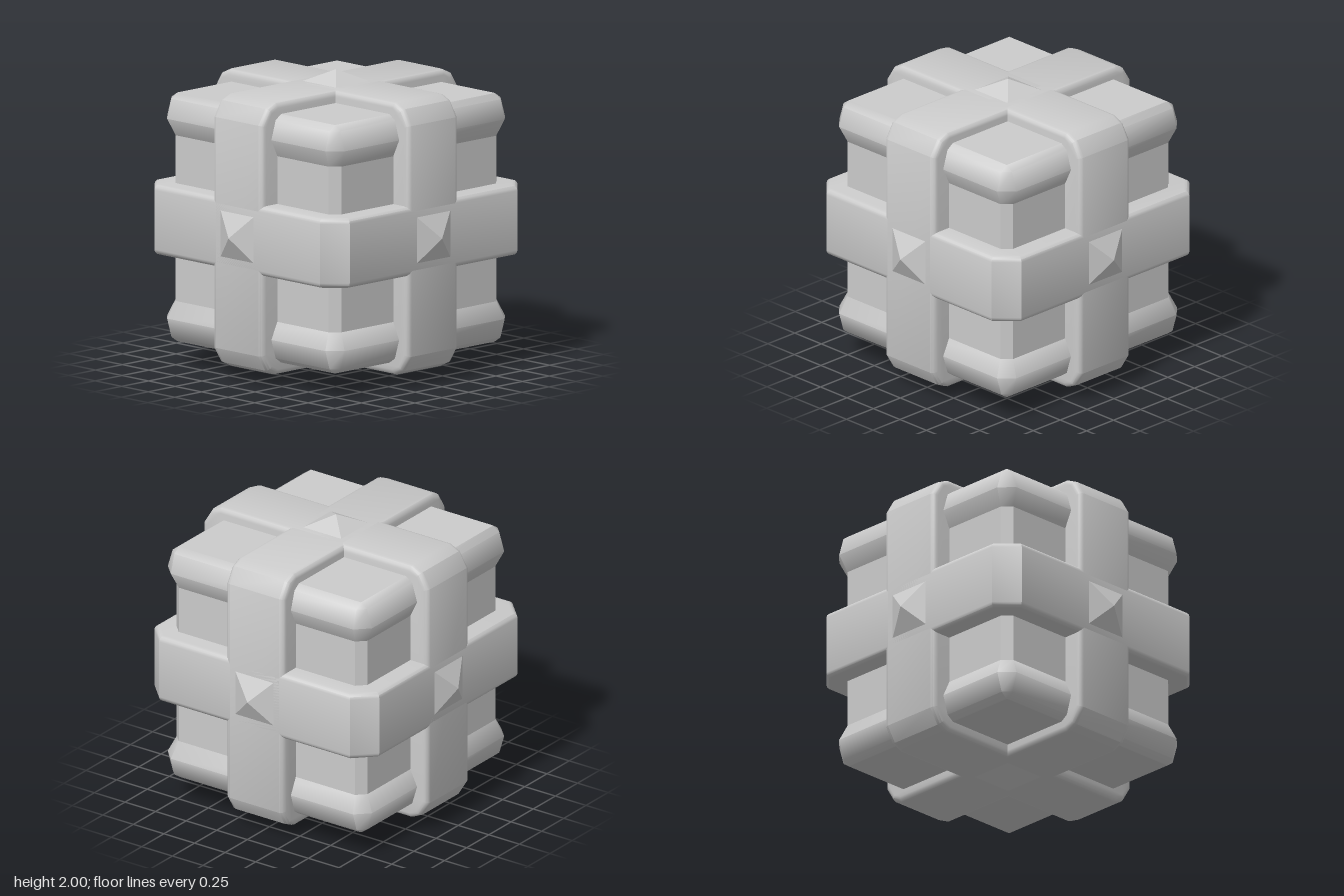
import * as THREE from 'three';
import { toCreasedNormals } from 'three/addons/utils/BufferGeometryUtils.js';

const R = 0.92;     // outer half size of the bands
const FLAT = 0.78;  // half length of each band's flat side

// Loft chamfered squares, each ring given as [halfSize, chamfer, y], from bottom to top
function loftSquares(rings, crease) {
  const pos = [], index = [];
  for (const [h, c, y] of rings) {
    const k = h - c;
    for (const [x, z] of [[h, k], [h, -k], [k, -h], [-k, -h], [-h, -k], [-h, k], [-k, h], [k, h]]) {
      pos.push(x, y, z);
    }
  }
  for (let r = 0; r < rings.length - 1; r++) {
    for (let i = 0; i < 8; i++) {
      const a = r * 8 + i, b = r * 8 + (i + 1) % 8;
      index.push(a, b, b + 8, a, b + 8, a + 8);
    }
  }
  const geo = new THREE.BufferGeometry();
  geo.setAttribute('position', new THREE.Float32BufferAttribute(pos, 3));
  geo.setIndex(index);
  return toCreasedNormals(geo, crease);
}

// Thick polygonal slab with softened rims; corner lists one corner's points in the first quadrant
function bandGeometry(corner) {
  const points = [];
  const back = [...corner].reverse();
  for (const [x, y] of corner) points.push(new THREE.Vector2(x, y));
  for (const [x, y] of back) points.push(new THREE.Vector2(-x, y));
  for (const [x, y] of corner) points.push(new THREE.Vector2(-x, -y));
  for (const [x, y] of back) points.push(new THREE.Vector2(x, -y));
  const geo = new THREE.ExtrudeGeometry(new THREE.Shape(points), {
    depth: 0.4, bevelThickness: 0.037, bevelSize: 0.037, bevelOffset: -0.037, bevelSegments: 3,
  });
  geo.translate(0, 0, -0.2);
  return toCreasedNormals(geo, 0.56);
}

export function createModel() {
  const model = new THREE.Group();
  const body = new THREE.Group();
  body.position.y = 1;
  model.add(body);
  const smooth = new THREE.MeshStandardMaterial({ color: 0xcccccc });
  const faceted = new THREE.MeshStandardMaterial({ color: 0xcccccc, flatShading: true });

  function add(name, geometry, material = smooth) {
    const mesh = new THREE.Mesh(geometry, material);
    mesh.name = name;
    body.add(mesh);
    return mesh;
  }

  // Inner block: straight walls, then a bulging roll and flat plate at top and bottom
  add('coreWalls', loftSquares([[0.78, 0.06, -0.56], [0.78, 0.06, 0.56]], 0.3));
  const roll = [[0.78, 0.06, 0.56], [0.835, 0.09, 0.675], [0.795, 0.05, 0.805], [0.745, 0.005, 0.84]];
  add('upperRoll', loftSquares(roll, 0.95));
  add('lowerRoll', loftSquares([...roll].reverse().map(([h, c, y]) => [h, c, -y]), 0.95));
  for (const s of [1, -1]) {
    const plate = add(s > 0 ? 'topPlate' : 'bottomPlate', new THREE.PlaneGeometry(1.49, 1.49));
    plate.rotation.x = -s * Math.PI / 2;
    plate.position.y = s * 0.84;
  }

  // Three crossing bands; the upright ones have a two-step corner
  const upright = bandGeometry([[R, FLAT], [0.855, 0.885], [FLAT, R]]);
  const level = bandGeometry([[R, FLAT], [FLAT, R]]);
  add('frontalBand', upright);
  add('sideToSideBand', upright).rotation.y = Math.PI / 2;
  add('horizontalBand', level).rotation.x = Math.PI / 2;

  // Pyramid stud where the bands cross on each of the six faces
  const stud = new THREE.ConeGeometry(0.155 * Math.SQRT2, 1 - R, 4, 1);
  stud.rotateY(Math.PI / 4);
  const up = new THREE.Vector3(0, 1, 0);
  for (const axis of ['x', 'y', 'z']) {
    for (const s of [1, -1]) {
      const dir = new THREE.Vector3();
      dir[axis] = s;
      const mesh = add('pyramidStud', stud, faceted);
      mesh.quaternion.setFromUnitVectors(up, dir);
      mesh.position.copy(dir).multiplyScalar((1 + R) / 2);
    }
  }
  return model;
}
